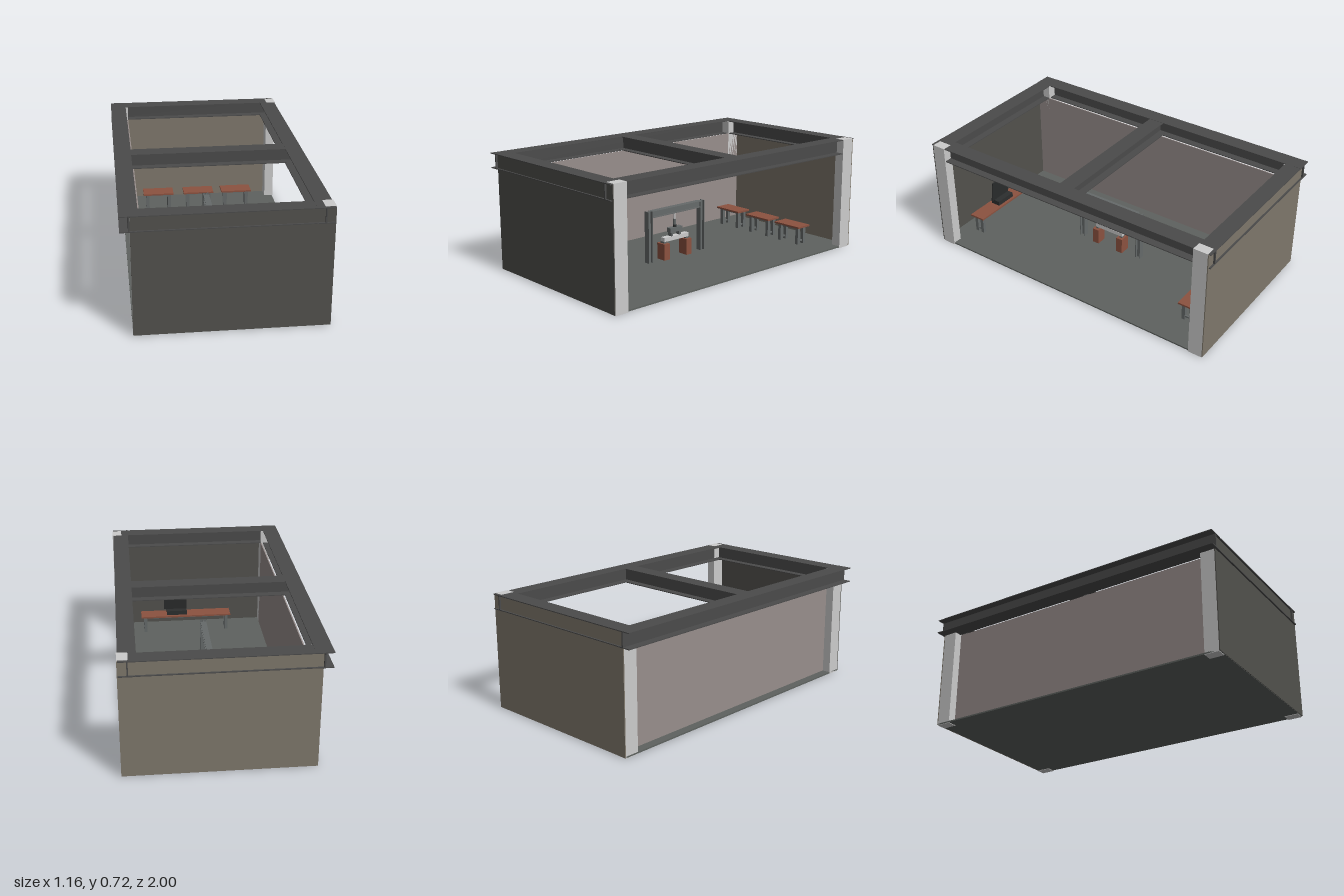
import * as THREE from 'three';

const mat = (color) => new THREE.MeshStandardMaterial({ color });
const GREY = mat(0xcccccc), STEEL = mat(0x4b4b4b), FLOOR = mat(0x5e625f), RED = mat(0x8c5240),
  DARKWALL = mat(0x52514d), TANWALL = mat(0x7f786c), PINKWALL = mat(0x988e8c),
  FRAME = mat(0x666a6a), BLACK = mat(0x2c2e2e);

// Box given by its lower and upper limits on each axis
function box(parent, name, material, [x0, x1], [y0, y1], [z0, z1]) {
  const mesh = new THREE.Mesh(new THREE.BoxGeometry(x1 - x0, y1 - y0, z1 - z0), material);
  mesh.position.set((x0 + x1) / 2, (y0 + y1) / 2, (z0 + z1) / 2);
  mesh.name = name;
  parent.add(mesh);
  return mesh;
}

function cylinder(parent, name, material, r, x, [y0, y1], z) {
  const mesh = new THREE.Mesh(new THREE.CylinderGeometry(r, r, y1 - y0, 20), material);
  mesh.position.set(x, (y0 + y1) / 2, z);
  mesh.name = name;
  parent.add(mesh);
}

function section(parent, name) {
  const g = new THREE.Group();
  g.name = name;
  parent.add(g);
  return g;
}

// I-shaped steel profile, extruded
function iSection(parent, name, material, width, height, flange, web, length) {
  const w = width / 2, h = height / 2, t = h - flange, s = web / 2;
  const shape = new THREE.Shape([
    [-w, -h], [w, -h], [w, -t], [s, -t], [s, t], [w, t],
    [w, h], [-w, h], [-w, t], [-s, t], [-s, -t], [-w, -t],
  ].map(([x, y]) => new THREE.Vector2(x, y)));
  const geo = new THREE.ExtrudeGeometry(shape, { depth: length, bevelEnabled: false });
  geo.translate(0, 0, -length / 2);
  const mesh = new THREE.Mesh(geo, material);
  mesh.name = name;
  parent.add(mesh);
  return mesh;
}

// Table with four legs and stretchers
function table(parent, name, [x0, x1], [z0, z1]) {
  const g = section(parent, name);
  box(g, 'tableTop', RED, [x0, x1], [0.125, 0.136], [z0, z1]);
  const a = 0.018, t = 0.022;
  const xs = [x0 + a, x1 - a - t], zs = [z0 + a, z1 - a - t];
  for (const x of xs) {
    for (const z of zs) box(g, 'tableLeg', FRAME, [x, x + t], [0.012, 0.125], [z, z + t]);
    box(g, 'sideStretcher', FRAME, [x + 0.006, x + t - 0.006], [0.028, 0.038], [zs[0] + t, zs[1]]);
  }
  for (const z of zs) box(g, 'apron', FRAME, [xs[0] + t, xs[1]], [0.112, 0.125], [z + 0.006, z + t - 0.006]);
}

export function createModel() {
  const model = new THREE.Group();
  model.name = 'testHall';
  const hall = section(model, 'hall');
  hall.rotation.y = 0.01;

  // Floor and three walls, the right side is open
  box(hall, 'floor', FLOOR, [-0.52, 0.565], [0.003, 0.012], [-0.975, 0.975]);
  box(hall, 'frontWall', DARKWALL, [-0.52, 0.57], [0.005, 0.711], [0.972, 0.978]);
  box(hall, 'backWall', TANWALL, [-0.52, 0.57], [0.005, 0.711], [-0.985, -0.979]);
  box(hall, 'leftWall', PINKWALL, [-0.467, -0.46], [0.012, 0.624], [-0.979, 0.972]);

  // Corner columns
  for (const [z0, z1] of [[0.885, 0.972], [-0.979, -0.89]]) {
    box(hall, 'leftColumn', GREY, [-0.52, -0.46], [0, 0.712], [z0, z1]);
    box(hall, 'rightColumn', GREY, [0.51, 0.57], [0, 0.716], [z0, z1]);
  }

  // Roof beams
  const beams = section(hall, 'roofBeams');
  for (const x of [-0.525, 0.515]) {
    iSection(beams, 'sideBeam', STEEL, 0.1, 0.092, 0.005, 0.008, 1.985).position.set(x, 0.669, -0.003);
  }
  for (const z of [-0.945, 0.02, 0.938]) {
    const beam = iSection(beams, 'crossBeam', STEEL, 0.1, 0.091, 0.005, 0.008, 1.04);
    beam.rotation.y = Math.PI / 2;
    beam.position.set(-0.005, 0.669, z);
  }

  // Tables
  table(hall, 'workbench', [-0.238, 0.392], [0.785, 0.888]);
  for (const x of [-0.27, 0.01, 0.276]) table(hall, 'backTable', [x - 0.104, x + 0.104], [-0.81, -0.7]);

  // Control unit with a leaning screen on the workbench
  const unit = section(hall, 'controlUnit');
  box(unit, 'unitBase', BLACK, [0.07, 0.21], [0.136, 0.166], [0.803, 0.866]);
  const screen = box(unit, 'screen', BLACK, [0.07, 0.23], [0.166, 0.312], [0.834, 0.84]);
  screen.rotation.x = -0.12;

  // Loading frame: I-section posts joined by a crosshead
  const cx = 0.004;
  const rig = section(hall, 'loadingFrame');
  for (const z of [0.256, -0.179]) {
    const post = iSection(rig, 'framePost', FRAME, 0.038, 0.035, 0.005, 0.006, 0.326);
    post.rotation.x = Math.PI / 2;
    post.position.set(cx, 0.175, z);
  }
  const head = iSection(rig, 'crosshead', FRAME, 0.038, 0.042, 0.005, 0.02, 0.4);
  head.position.set(cx, 0.317, 0.0385);

  // Test beam on two supports
  const specimen = section(hall, 'testSpecimen');
  for (const z of [0.137, -0.047]) {
    box(specimen, 'support', RED, [cx - 0.035, cx + 0.035], [0.012, 0.115], [z - 0.022, z + 0.022]);
    box(specimen, 'bearing', FRAME, [cx - 0.017, cx + 0.017], [0.115, 0.126], [z - 0.01, z + 0.01]);
  }
  box(specimen, 'testBeam', GREY, [cx - 0.017, cx + 0.017], [0.125, 0.151], [-0.058, 0.145]);

  // Spreader and jack pressing on the test beam
  const jack = section(hall, 'jack');
  for (const z of [0.078, 0.012]) {
    box(jack, 'spreaderFoot', FRAME, [cx - 0.015, cx + 0.015], [0.151, 0.177], [z - 0.008, z + 0.008]);
  }
  box(jack, 'spreader', FRAME, [cx - 0.017, cx + 0.017], [0.175, 0.204], [-0.006, 0.094]);
  cylinder(jack, 'loadCell', BLACK, 0.012, cx, [0.204, 0.218], 0.044);
  cylinder(jack, 'jackBody', FRAME, 0.009, cx, [0.218, 0.255], 0.044);
  cylinder(jack, 'jackRod', GREY, 0.006, cx, [0.255, 0.297], 0.044);

  return model;
}
